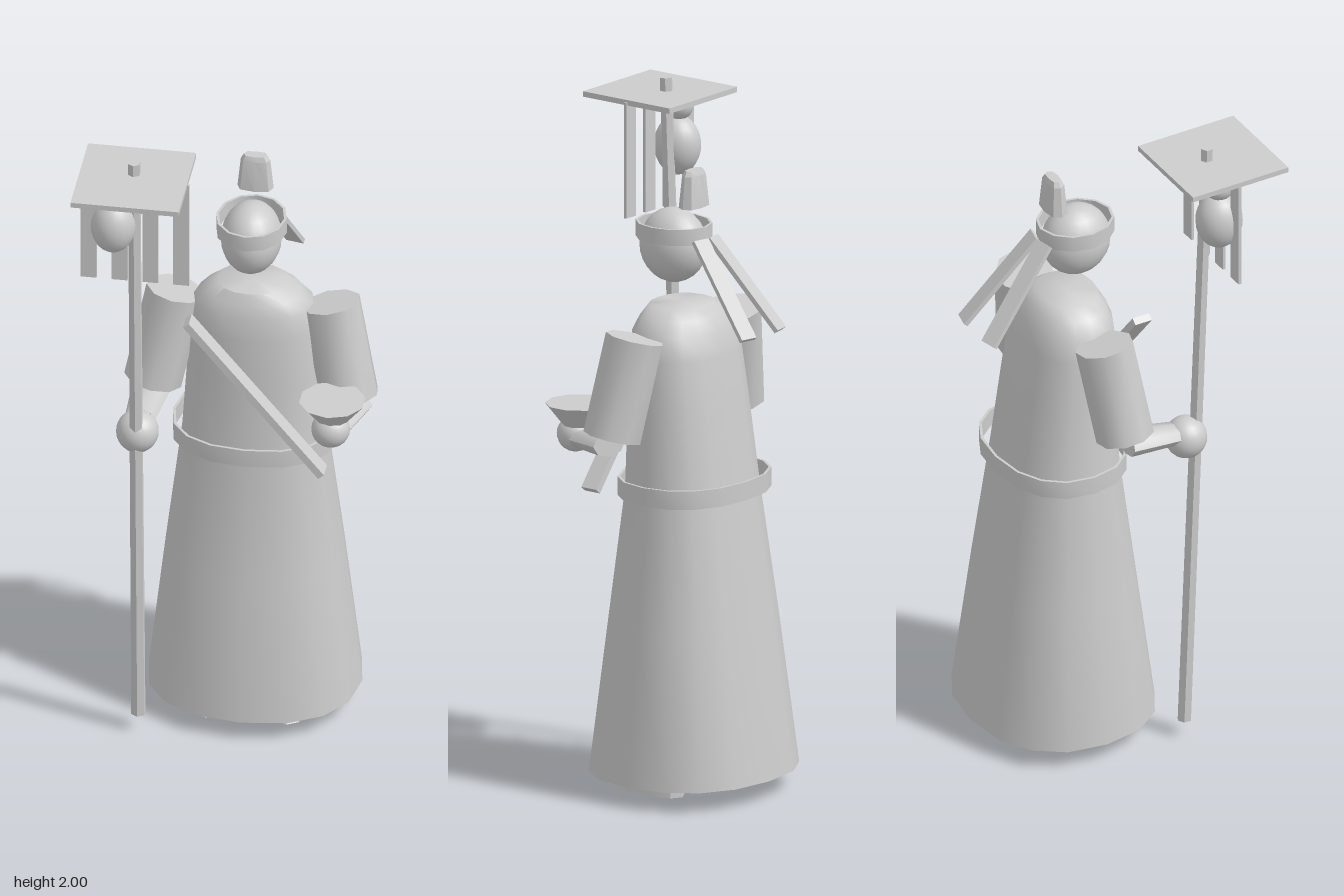
import * as THREE from 'three';
import { toCreasedNormals } from 'three/addons/utils/BufferGeometryUtils.js';

export function createModel() {
  const model = new THREE.Group();
  const grey = new THREE.MeshStandardMaterial({ color: 0xcccccc });
  grey.name = 'lightGrey';
  const CX = 0.04; // the figure's own centre line
  const V = (x, y, z) => new THREE.Vector3(x, y, z);

  const add = (name, geometry, x = 0, y = 0, z = 0) => {
    const mesh = new THREE.Mesh(geometry, grey);
    mesh.name = name;
    mesh.position.set(x, y, z);
    model.add(mesh);
    return mesh;
  };

  // Loft through rings [y, half width, half depth, centre z]; power < 1 squares the section
  const loft = (rings, sides, power = 1, crease = 0.7) => {
    const geo = new THREE.LatheGeometry(rings.map((r, i) => new THREE.Vector2(1, i)), sides);
    const p = geo.attributes.position;
    const bend = (v) => Math.sign(v) * Math.pow(Math.abs(v), power);
    for (let i = 0; i < p.count; i++) {
      const [y, rx, rz, cz] = rings[Math.round(p.getY(i))];
      p.setXYZ(i, bend(p.getX(i)) * rx, y, bend(p.getZ(i)) * rz + cz);
    }
    return toCreasedNormals(geo, crease);
  };

  // Thin closed band around the body or head
  const band = (y0, y1, rx, rz, cz, t, sides, power) => loft([
    [y0, rx - t, rz - t, cz], [y0, rx, rz, cz], [y1, rx, rz, cz],
    [y1, rx - t, rz - t, cz], [y0, rx - t, rz - t, cz]], sides, power);

  // Place a z-aligned part between two points
  const between = (name, geometry, a, b) => {
    const mesh = add(name, geometry, ...a.clone().add(b).multiplyScalar(0.5).toArray());
    mesh.lookAt(b);
    return mesh;
  };
  const bar = (name, a, b, w, t) =>
    between(name, new THREE.BoxGeometry(w, t, a.distanceTo(b)), a, b);
  const limb = (name, a, b, ra, rb, sides, flat = 1) => {
    const geo = new THREE.CylinderGeometry(rb, ra, a.distanceTo(b), sides);
    geo.rotateX(Math.PI / 2).scale(1, flat, 1);
    return between(name, toCreasedNormals(geo, 0.8), a, b);
  };
  const ball = (name, x, y, z, rx, ry, rz) =>
    add(name, new THREE.SphereGeometry(1, 20, 14).scale(rx, ry, rz), x, y, z);

  // Robe, leaning back a little, closed at both ends
  add('robe', loft([
    [0.06, 0, 0, -0.12], [0.06, 0.312, 0.277, -0.12], [0.5, 0.262, 0.22, -0.118],
    [0.9, 0.213, 0.167, -0.114], [1.15, 0.195, 0.147, -0.1], [1.3, 0.184, 0.134, -0.09],
    [1.37, 0.174, 0.124, -0.086], [1.41, 0.14, 0.105, -0.08], [1.44, 0.1, 0.085, -0.076],
    [1.442, 0, 0, -0.076]], 16, 0.87, 0.9), CX);
  add('belt', band(0.885, 0.94, 0.242, 0.192, -0.122, 0.008, 16, 0.87), CX);

  // Diagonal strap across the chest
  bar('chestStrap', V(-0.127, 1.378, 0.08), V(0.268, 0.898, 0.08), 0.055, 0.022);

  // Head, headband and floating topknot
  ball('head', CX, 1.605, -0.045, 0.088, 0.11, 0.105);
  add('headband', band(1.627, 1.675, 0.103, 0.117, -0.047, 0.008, 12, 1), CX);
  add('topknot', loft([
    [1.73, 0, 0, -0.12], [1.73, 0.053, 0.03, -0.12], [1.825, 0.043, 0.022, -0.12],
    [1.84, 0.034, 0.016, -0.12], [1.84, 0, 0, -0.12]], 8, 0.7, 0.3), CX);

  for (const s of [-1, 1]) {
    const side = s > 0 ? 'left' : 'right';
    // Ribbons trailing behind the headband
    bar(side + 'Ribbon', V(CX + s * 0.028, 1.64, -0.165), V(CX + s * 0.075, 1.388, -0.378), 0.054, 0.014);
    // Wide sleeves
    limb(side + 'Sleeve', V(CX + s * 0.228, 1.378, -0.083), V(CX + s * 0.287, 1.088, -0.047), 0.086, 0.086, 9);
    // Shoes, sloping in at the toe
    add(side + 'Shoe', loft([
      [0, 0, 0, -0.057], [0, 0.052, 0.113, -0.057], [0.065, 0.042, 0.083, -0.084],
      [0.065, 0, 0, -0.084]], 10, 0.85), CX + s * 0.118);
  }

  // Forearms and hands
  limb('rightForearm', V(-0.25, 1.065, -0.045), V(-0.26, 1.05, 0.11), 0.058, 0.045, 8, 0.65);
  ball('rightHand', -0.262, 1.028, 0.147, 0.062, 0.064, 0.062);
  limb('leftForearm', V(0.34, 1.07, -0.045), V(0.305, 1.062, 0.09), 0.058, 0.045, 8, 0.65);
  ball('leftHand', 0.297, 1.07, 0.112, 0.056, 0.054, 0.054);

  // Bowl resting on the left hand
  add('bowl', toCreasedNormals(new THREE.CylinderGeometry(0.097, 0.045, 0.065, 10), 0.8), 0.3, 1.13, 0.1);

  // Staff with a square canopy
  limb('staff', V(-0.26, 0.055, 0.143), V(-0.26, 1.999, 0.219), 0.022, 0.019, 6);
  add('canopy', new THREE.BoxGeometry(0.316, 0.016, 0.318), -0.259, 1.952, 0.24);
  for (let i = 0; i < 4; i++) {
    add('hangingStrip' + (i + 1), new THREE.BoxGeometry(0.046, 0.345, 0.009), -0.389 + i * 0.09, 1.78, 0.24);
  }

  // Gourd tied under the canopy
  ball('gourdBody', -0.32, 1.785, 0.224, 0.066, 0.088, 0.07);
  ball('gourdNeck', -0.322, 1.905, 0.224, 0.044, 0.046, 0.048);

  return model;
}
